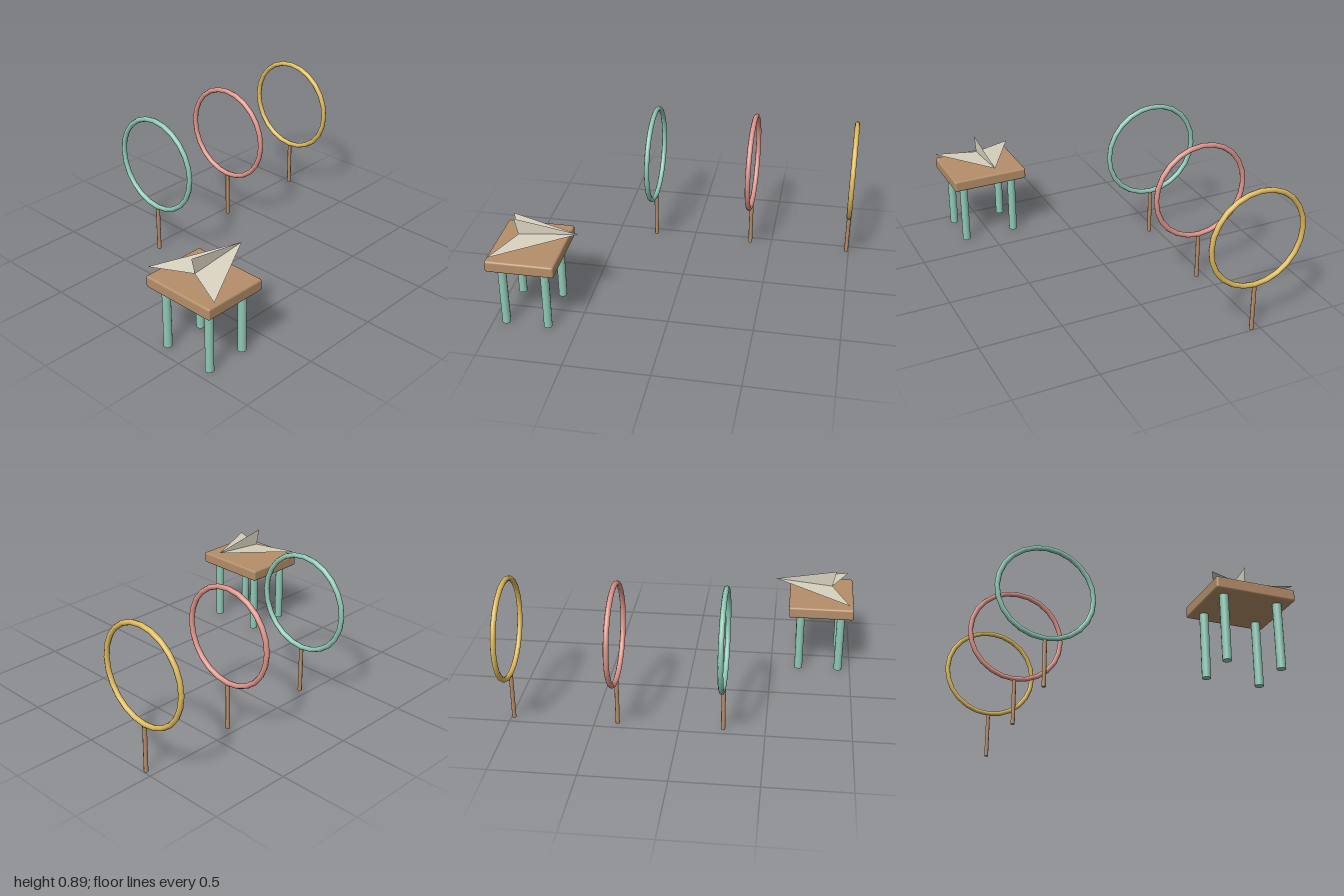
import * as THREE from 'three';
import { RoundedBoxGeometry } from 'three/addons/geometries/RoundedBoxGeometry.js';

const material = (color, extra = {}) => new THREE.MeshStandardMaterial({ color, ...extra });

function addMesh(parent, name, geometry, mat, x = 0, y = 0, z = 0) {
  const mesh = new THREE.Mesh(geometry, mat);
  mesh.name = name;
  mesh.position.set(x, y, z);
  parent.add(mesh);
  return mesh;
}

// One flat sheet of folded paper
function triangle(a, b, c) {
  const geometry = new THREE.BufferGeometry();
  geometry.setAttribute('position', new THREE.Float32BufferAttribute([...a, ...b, ...c], 3));
  geometry.computeVertexNormals();
  return geometry;
}

export function createModel() {
  const model = new THREE.Group();
  const wood = material(0xb58e6a);
  const teal = material(0x8fc9b5);
  const paper = material(0xd9d2bf, { side: THREE.DoubleSide, flatShading: true });

  // Three hoops on stakes, one behind the other
  const hoops = [
    ['front', teal, 0.255],
    ['middle', material(0xe0958a), -0.365],
    ['back', material(0xe0bb5c), -0.985],
  ];
  const ringGeometry = new THREE.TorusGeometry(0.29, 0.0155, 8, 24);
  const stakeGeometry = new THREE.CylinderGeometry(0.0125, 0.0125, 0.285, 8);
  for (const [place, mat, z] of hoops) {
    const hoop = new THREE.Group();
    hoop.name = `${place}Hoop`;
    hoop.position.set(-0.45, 0, z);
    addMesh(hoop, 'ring', ringGeometry, mat, 0, 0.585, 0);
    addMesh(hoop, 'stake', stakeGeometry, wood, 0, 0.1425, 0);
    model.add(hoop);
  }

  // Small table
  const table = new THREE.Group();
  table.name = 'table';
  table.position.set(0.5, 0, 0.8);
  addMesh(table, 'tableTop', new RoundedBoxGeometry(0.47, 0.07, 0.4, 3, 0.012), wood, 0, 0.418, 0);
  const legGeometry = new THREE.CylinderGeometry(0.025, 0.025, 0.39, 12);
  for (const x of [-0.16, 0.16]) {
    for (const z of [-0.125, 0.125]) addMesh(table, 'tableLeg', legGeometry, teal, x, 0.195, z);
  }
  model.add(table);

  // Paper plane: two wings and an upright fin meeting along the fold
  const plane = new THREE.Group();
  plane.name = 'paperPlane';
  plane.position.x = 0.5;
  const nose = [0, 0.542, 0.51];
  const tail = [0, 0.505, 0.865];
  addMesh(plane, 'leftWing', triangle(nose, tail, [0.247, 0.49, 0.972]), paper);
  addMesh(plane, 'rightWing', triangle(nose, [-0.247, 0.49, 0.972], tail), paper);
  addMesh(plane, 'fin', triangle(nose, tail, [0, 0.605, 0.887]), paper);
  model.add(plane);

  return model;
}
